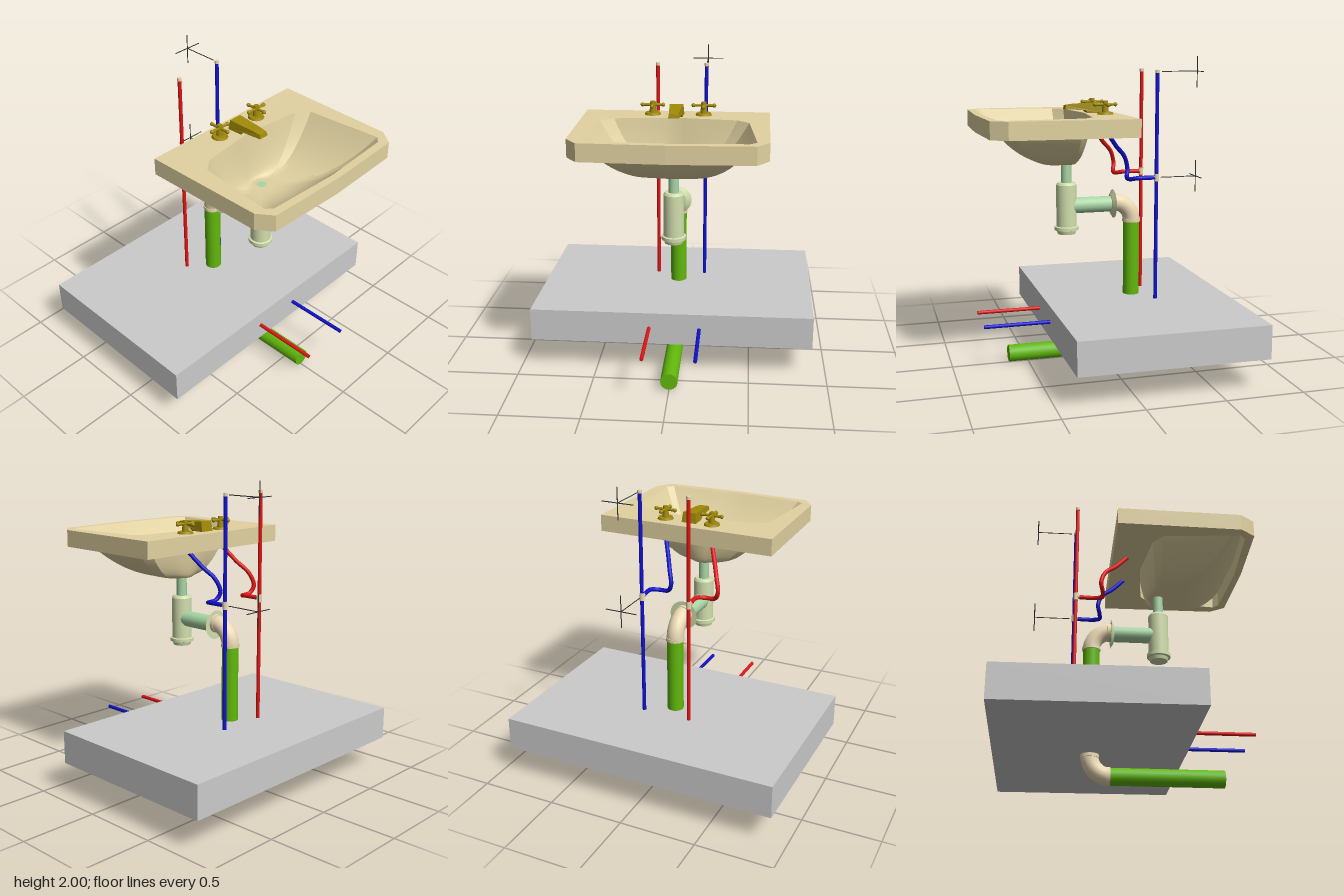
import * as THREE from 'three';
import { toCreasedNormals } from 'three/addons/utils/BufferGeometryUtils.js';

const mat = (color, extra = {}) => new THREE.MeshStandardMaterial({ color, ...extra });
const V = (x, y, z) => new THREE.Vector3(x, y, z);

export function createModel() {
  const root = new THREE.Group();
  const grey = mat(0xcccccc), ceramic = mat(0xe2d3a2), bowlMat = mat(0xe2d3a2, { side: THREE.DoubleSide });
  const brass = mat(0xa08a08), trapMat = mat(0xd2dfae), tailMat = mat(0xa9d6a6);
  const waste = mat(0x62b80c), fitting = mat(0xead9b4), dark = mat(0x333333);
  const red = mat(0xe01414), blue = mat(0x1010d0);

  const add = (name, geo, material, parent = root) => {
    const m = new THREE.Mesh(geo, material);
    m.name = name;
    parent.add(m);
    return m;
  };
  // Straight round rod between two points, optionally tapered
  const rod = (name, a, b, r, material, parent = root, rEnd = r, sides = 24) => {
    const m = add(name, new THREE.CylinderGeometry(rEnd, r, a.distanceTo(b), sides), material, parent);
    m.position.copy(a).lerp(b, 0.5);
    m.quaternion.setFromUnitVectors(V(0, 1, 0), b.clone().sub(a).normalize());
    return m;
  };
  // Horizontal plate from an x/z outline, hung below its top height
  const plate = (name, outline, hole, top, depth, material) => {
    const s = new THREE.Shape(outline.map(p => new THREE.Vector2(...p)));
    if (hole) s.holes.push(new THREE.Path(hole.map(p => new THREE.Vector2(...p))));
    const g = new THREE.ExtrudeGeometry(s, { depth, bevelEnabled: false });
    g.rotateX(Math.PI / 2);
    g.translate(0, top, 0);
    return add(name, g, material);
  };

  // Floor slab, slightly skewed
  plate('floorSlab', [[-0.91, -0.82], [0.92, -0.82], [0.905, 0.385], [-0.925, 0.385]], null, 0.415, 0.215, grey);

  // Basin rim with the bowl opening cut out
  const opening = [[-0.46, 0.22], [-0.38, 0.155], [0, 0.11], [0.39, 0.155], [0.465, 0.22],
    [0.51, 0.71], [0.47, 0.745], [0, 0.77], [-0.47, 0.745], [-0.51, 0.71]];
  plate('basinRim', [[-0.59, -0.09], [0.595, -0.09], [0.583, 0.70], [0.51, 0.797], [0, 0.815],
    [-0.51, 0.797], [-0.58, 0.70]], opening, 1.64, 0.11, ceramic);

  // Bowl: lofted from the opening down to the drain circle
  const drainZ = 0.23, drainR = 0.06, rings = 16, ring = [];
  opening.forEach((p, i) => {
    const q = opening[(i + 1) % opening.length];
    for (let k = 0; k < 6; k++) ring.push([p[0] + (q[0] - p[0]) * k / 6, p[1] + (q[1] - p[1]) * k / 6]);
  });
  const pos = [], idx = [], n = ring.length;
  for (let j = 0; j <= rings; j++) {
    const t = 1 - j / rings;
    for (const [x, z] of ring) {
      const a = Math.atan2(z - drainZ, x);
      const cx = Math.cos(a) * drainR, cz = drainZ + Math.sin(a) * drainR;
      pos.push(cx + (x - cx) * t, 1.315 + 0.325 * Math.pow(t, 2.3), cz + (z - cz) * t);
    }
  }
  for (let j = 0; j < rings; j++) for (let i = 0; i < n; i++) {
    const a = j * n + i, b = j * n + (i + 1) % n;
    idx.push(a, b, a + n, b, b + n, a + n);
  }
  const bowl = new THREE.BufferGeometry();
  bowl.setAttribute('position', new THREE.Float32BufferAttribute(pos, 3));
  bowl.setIndex(idx);
  add('bowl', toCreasedNormals(bowl, 0.4), bowlMat);

  // Drain ring and opening
  const drain = add('drainRing', new THREE.RingGeometry(0.032, 0.064, 32), bowlMat);
  drain.rotation.x = -Math.PI / 2;
  drain.position.set(0, 1.317, drainZ);

  // Spout: side profile, narrowed toward its tip
  const profile = [[-0.01, 1.64], [0.09, 1.64], [0.11, 1.66], [0.24, 1.665], [0.235, 1.69], [0.18, 1.697], [0.0, 1.705]];
  const spout = new THREE.ExtrudeGeometry(new THREE.Shape(profile.map(p => new THREE.Vector2(...p))),
    { depth: 0.1, bevelEnabled: false });
  spout.translate(0, 0, -0.05);
  spout.rotateY(-Math.PI / 2);
  const sp = spout.attributes.position;
  for (let i = 0; i < sp.count; i++) {
    const topTaper = sp.getY(i) > 1.68 ? 0.88 : 1;
    sp.setX(i, sp.getX(i) * (1 - 1.4 * Math.max(0, sp.getZ(i))) * topTaper);
  }
  spout.computeVertexNormals();
  add('spout', spout, brass);

  // Cross-handle tap
  const tap = (name, x) => {
    const g = new THREE.Group();
    g.name = name;
    g.position.set(x, 1.64, 0.015);
    root.add(g);
    rod('tapBase', V(0, 0, 0), V(0, 0.014, 0), 0.052, brass, g, 0.046);
    rod('tapStem', V(0, 0.014, 0), V(0, 0.085, 0), 0.022, brass, g, 0.016);
    for (const [dx, dz] of [[1, 0], [-1, 0], [0, 1], [0, -1]]) {
      rod('tapArm', V(0, 0.062, 0), V(dx * 0.065, 0.062, dz * 0.065), 0.009, brass, g, 0.009, 12);
      add('tapKnob', new THREE.SphereGeometry(0.013, 16, 10), brass, g).position.set(dx * 0.066, 0.062, dz * 0.066);
    }
  };

  // Supply line: riser, fitting, flexible hose and floor run
  const supply = (name, x, material) => {
    const g = new THREE.Group();
    g.name = name;
    g.position.x = x;
    root.add(g);
    rod('riser', V(0, 0.31, -0.33), V(0, 1.9, -0.33), 0.012, material, g, 0.012, 16);
    rod('riserCap', V(0, 1.895, -0.33), V(0, 1.915, -0.33), 0.014, fitting, g, 0.014, 16);
    rod('floorRun', V(0, 0.31, -0.33), V(0, 0.31, 0.81), 0.012, material, g, 0.012, 16);
    rod('teeBody', V(0, 1.2, -0.33), V(0, 1.25, -0.33), 0.016, fitting, g, 0.016, 16);
    rod('teeBranch', V(0, 1.225, -0.33), V(0, 1.225, -0.305), 0.014, fitting, g, 0.014, 16);
    const path = new THREE.CatmullRomCurve3([V(0, 1.225, -0.32), V(0.004, 1.225, -0.2), V(-0.035, 1.215, -0.158),
      V(-0.1, 1.222, -0.16), V(-0.127, 1.27, -0.172), V(-0.105, 1.355, -0.145), V(-0.06, 1.43, -0.075), V(0, 1.54, 0.01)]);
    add('hose', new THREE.TubeGeometry(path, 60, 0.014, 12), material, g);
  };
  for (const [side, x, material] of [['left', 0.175, blue], ['right', -0.15, red]]) {
    tap(side + 'Tap', x);
    supply(side + 'SupplyLine', x, material);
  }

  // Bottle trap under the bowl
  rod('tailpipe', V(0, 1.17, drainZ), V(0, 1.316, drainZ), 0.034, tailMat);
  const trapProfile = [[0, 0.85], [0.058, 0.85], [0.064, 0.872], [0.078, 0.876], [0.078, 0.898], [0.066, 0.902],
    [0.066, 1.175], [0.056, 1.19], [0, 1.19]].map(p => new THREE.Vector2(...p));
  add('bottleTrap', toCreasedNormals(new THREE.LatheGeometry(trapProfile, 32), 0.5), trapMat).position.z = drainZ;
  rod('trapArm', V(0, 1.035, drainZ), V(0, 1.035, -0.1), 0.052, tailMat);
  rod('wallFlange', V(0, 1.035, -0.068), V(0, 1.035, -0.088), 0.06, trapMat, root, 0.095, 32);

  // Quarter-turn elbows with collars
  const elbow = (name, y, up) => {
    const g = new THREE.Group();
    g.name = name;
    root.add(g);
    const t = new THREE.TorusGeometry(0.125, 0.056, 24, 20, Math.PI / 2);
    if (!up) t.rotateZ(-Math.PI / 2);
    t.rotateY(Math.PI / 2);
    add('bend', t, fitting, g).position.set(0, y, -0.09);
    const s = up ? 1 : -1;
    rod('verticalCollar', V(0, y + s * 0.012, -0.215), V(0, y - s * 0.01, -0.215), 0.06, fitting, g);
    rod('horizontalCollar', V(0, y + s * 0.125, -0.112), V(0, y + s * 0.125, -0.088), 0.06, fitting, g);
  };
  elbow('upperElbow', 0.92, true);
  elbow('lowerElbow', 0.187, false);

  // Waste pipes
  rod('verticalWastePipe', V(0, 0.18, -0.215), V(0, 0.925, -0.215), 0.054, waste);
  rod('horizontalWastePipe', V(0, 0.062, -0.09), V(0, 0.062, 0.63), 0.055, waste);

  // Dimension marker: extension lines, cross ticks and a broken vertical line
  const marker = new THREE.Group();
  marker.name = 'dimensionMarker';
  root.add(marker);
  const line = (name, a, b) => rod(name, a, b, 0.003, dark, marker, 0.003, 6);
  for (const y of [1.905, 1.225]) {
    line('extensionLine', V(0.175, y, -0.36), V(0.175, y, -0.6));
    line('crossTick', V(0.07, y, -0.6), V(0.28, y, -0.6));
  }
  line('upperDimensionLine', V(0.175, 1.8, -0.6), V(0.175, 2.0, -0.6));
  line('lowerDimensionLine', V(0.175, 1.12, -0.6), V(0.175, 1.33, -0.6));

  return root;
}
